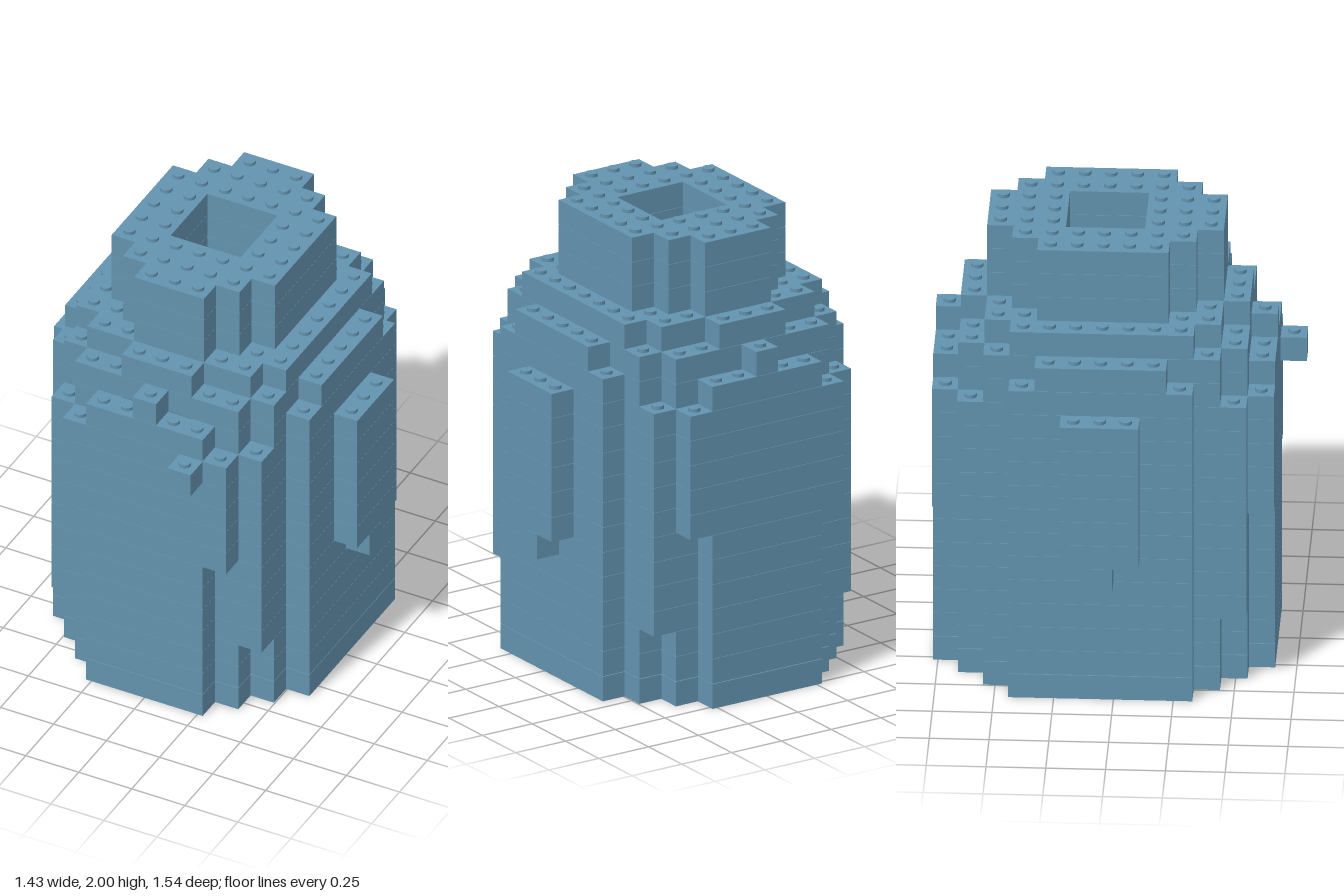
import * as THREE from 'three';
import { mergeGeometries } from 'three/addons/utils/BufferGeometryUtils.js';

const P = 0.11;              // stud pitch
const H = 1.985 / 18;        // layer height
const GAP = 0.0015;          // thin seam between layers
const STUD_H = 0.015;
const ZC = -0.055;           // body axis, shifted back by the protruding brick

// Half-widths (in studs) for each row away from the axis: outside, then cavity.
const base = [5, 5, 5, 5, 4, 3, 2];
const cavity = [4, 4, 3, 3, 3, 2];
const narrow = [3, 3, 3, 3, 2, 1];
const sections = [
  { count: 2, out: base, hole: [] },
  { count: 1, out: base, hole: narrow },
  { count: 1, out: [5, 5, 5, 5, 4, 4, 2], hole: narrow },
  { count: 1, out: [5, 5, 5, 5, 4, 4, 2], hole: cavity },
  { count: 1, out: [6, 5, 5, 5, 4, 4, 2], hole: cavity },
  { count: 1, out: [6, 6, 5, 5, 4, 4, 2], hole: cavity },
  { count: 5, out: [6, 6, 5, 5, 4, 4, 3], hole: cavity },
  { count: 1, out: base, hole: narrow },
  { count: 1, out: [5, 5, 5, 4, 4, 3, 0], hole: [3, 3, 2, 2, 1] },
  { count: 1, out: [4, 4, 4, 4, 3, 1], hole: [2, 2, 2, 1] },
  { count: 3, out: [3, 3, 3, 2, 1], hole: [1, 1] },
];
const layers = sections.flatMap((s) => Array(s.count).fill(s));

// Stepped closed outline, mirrored on both axes
function outline(widths) {
  const n = widths.length - 1;
  const right = [];
  for (let r = -n; r <= n; r++) {
    const w = widths[Math.abs(r)];
    if (r === -n || widths[Math.abs(r - 1)] !== w) right.push([w + 0.5, r - 0.5]);
    if (r === n || widths[Math.abs(r + 1)] !== w) right.push([w + 0.5, r + 0.5]);
  }
  const left = right.map(([x, y]) => [-x, y]).reverse();
  return [...right, ...left].map(([x, y]) => new THREE.Vector2(x * P, y * P));
}

const inside = (widths, i, r) => Math.abs(r) < widths.length && Math.abs(i) <= widths[Math.abs(r)];
const solid = (layer, i, r) => !!layer && inside(layer.out, i, r) && !inside(layer.hole, i, r);

function studAt(i, y, r) {
  return new THREE.CylinderGeometry(0.026, 0.026, STUD_H, 16)
    .translate(i * P, y + STUD_H / 2, r * P + ZC);
}

export function createModel() {
  const model = new THREE.Group();
  model.name = 'brickVase';
  const blue = new THREE.MeshStandardMaterial({ color: 0x6292ae });
  blue.name = 'sandBlue';

  const add = (geometry, name) => {
    const mesh = new THREE.Mesh(geometry, blue);
    mesh.name = name;
    model.add(mesh);
  };

  layers.forEach((layer, k) => {
    // Ring (or floor) of bricks
    const shape = new THREE.Shape(outline(layer.out));
    if (layer.hole.length) shape.holes.push(new THREE.Path(outline(layer.hole)));
    const ring = new THREE.ExtrudeGeometry(shape, { depth: H - GAP, bevelEnabled: false });
    ring.rotateX(-Math.PI / 2).translate(0, k * H + (k === 0 ? 0 : GAP), ZC);
    add(ring, k < 2 ? 'floorLayer' : k < 15 ? 'wallLayer' : 'neckLayer');

    // Studs wherever nothing sits on top
    const studs = [];
    for (let r = -6; r <= 6; r++) {
      for (let i = -6; i <= 6; i++) {
        if (solid(layer, i, r) && !solid(layers[k + 1], i, r)) studs.push(studAt(i, (k + 1) * H, r));
      }
    }
    if (studs.length) add(mergeGeometries(studs), 'studs');
  });

  // Single brick sticking out of the front
  add(new THREE.BoxGeometry(P, H - GAP, P).translate(2 * P, 11.5 * H, 7 * P + ZC), 'protrudingBrick');
  add(studAt(2, 12 * H, 7), 'protrudingStud');

  return model;
}
